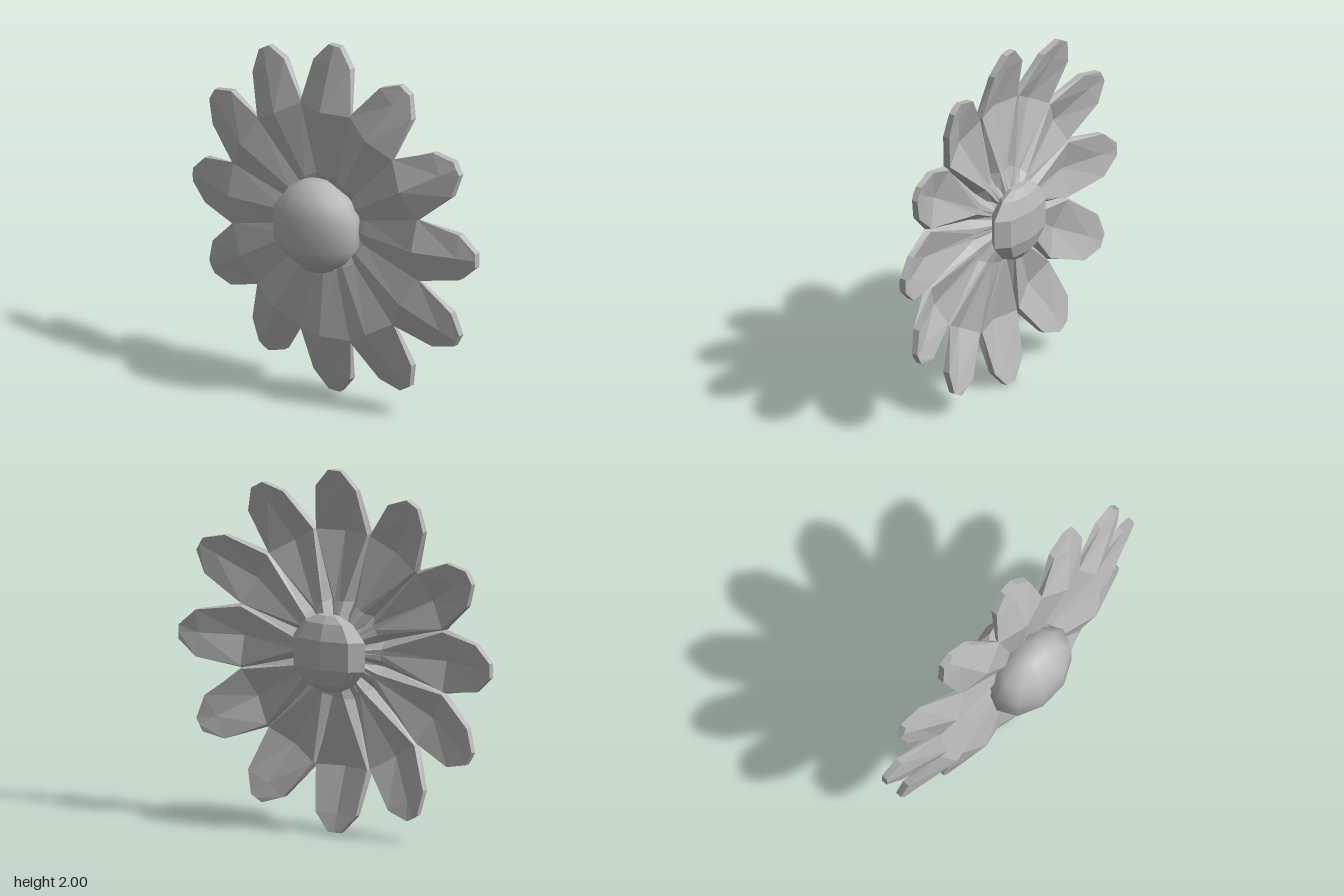
import * as THREE from 'three';

const PETALS = 12;

// Faceted normals
function facet(geometry) {
  const g = geometry.index ? geometry.toNonIndexed() : geometry;
  g.computeVertexNormals();
  return g;
}

// Petal along +y, lofted from six-sided sections:
// [radius, half width, ridge z, edge z, back half width, back edge z, back centre z]
function petalGeometry() {
  const sections = [
    [0.08, 0.03, -0.06, -0.07, 0.012, -0.11, -0.12],
    [0.27, 0.075, 0.015, -0.01, 0.03, -0.06, -0.06],
    [0.65, 0.18, 0.05, 0.0, 0.165, -0.035, 0.005],
    [0.9, 0.13, -0.035, -0.055, 0.13, -0.095, -0.08],
    [1.0, 0.04, -0.07, -0.075, 0.04, -0.11, -0.11],
  ];
  const pos = [];
  const idx = [];
  for (const [r, w, zf, ze, wb, zbe, zb] of sections) {
    pos.push(0, r, zf, w, r, ze, wb, r, zbe, 0, r, zb, -wb, r, zbe, -w, r, ze);
  }
  const last = (sections.length - 1) * 6;
  for (let i = 0; i < last; i += 6) {
    for (let k = 0; k < 6; k++) {
      const n = (k + 1) % 6;
      idx.push(i + k, i + n, i + 6 + n, i + k, i + 6 + n, i + 6 + k);
    }
  }
  // End caps
  for (let k = 1; k < 5; k++) {
    idx.push(last, last + k, last + k + 1);
    idx.push(0, k + 1, k);
  }
  const g = new THREE.BufferGeometry();
  g.setAttribute('position', new THREE.Float32BufferAttribute(pos, 3));
  g.setIndex(idx);
  return facet(g);
}

// Squashed low-poly ball turned around y, with flat ends
function ballGeometry(upper, sides, squash) {
  const lower = upper.map(([r, y]) => [r, -y]);
  const points = [...lower, ...upper.slice().reverse()].map(([r, y]) => new THREE.Vector2(r, y));
  return new THREE.LatheGeometry(points, sides, Math.PI / 2).scale(1, 1, squash);
}

export function createModel() {
  const model = new THREE.Group();
  model.name = 'flower';
  const grey = new THREE.MeshStandardMaterial({ color: 0xb8b8b8 });
  grey.name = 'light grey';

  // Ring of petals
  const petals = new THREE.Group();
  petals.name = 'petals';
  petals.position.y = 1;
  const petal = petalGeometry();
  for (let i = 0; i < PETALS; i++) {
    const mesh = new THREE.Mesh(petal, grey);
    mesh.name = 'petal';
    mesh.rotation.z = (i * Math.PI * 2) / PETALS;
    petals.add(mesh);
  }
  model.add(petals);

  // Smooth domed flower centre
  const centre = new THREE.Mesh(
    ballGeometry([[0, 0.25], [0.09, 0.25], [0.195, 0.18], [0.27, 0.09]], 10, 0.67), grey);
  centre.name = 'flowerCentre';
  centre.position.set(0, 1, 0.07);
  model.add(centre);

  // Faceted button behind the petals
  const back = new THREE.Mesh(
    facet(ballGeometry([[0, 0.21], [0.07, 0.21], [0.155, 0.17], [0.23, 0.08]], 8, 0.39)), grey);
  back.name = 'backButton';
  back.position.set(0, 1, -0.16);
  model.add(back);

  return model;
}
